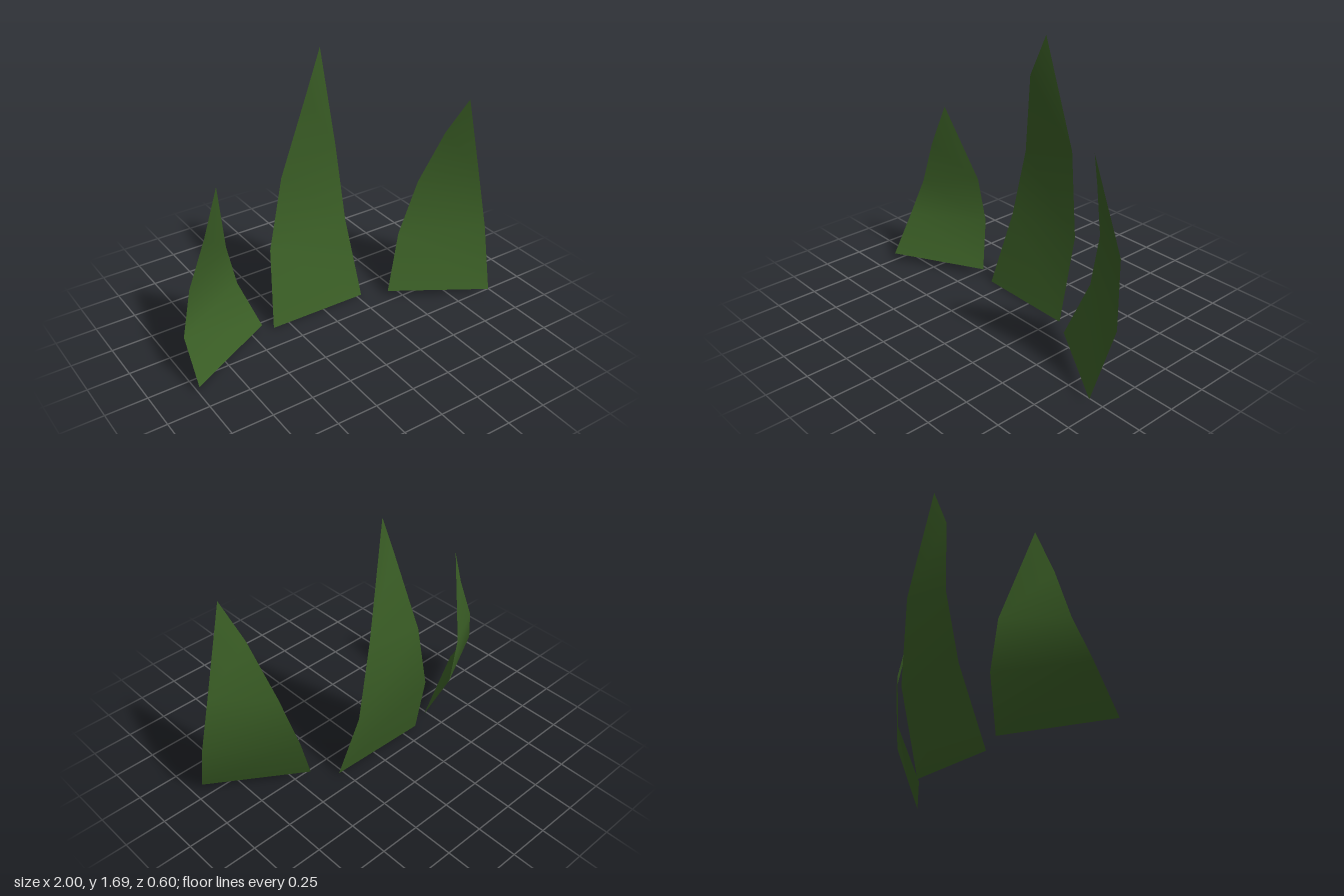
import * as THREE from 'three';

const material = new THREE.MeshStandardMaterial({ color: 0x3b5f26, side: THREE.DoubleSide });

// A thin curved blade: points zigzag from the base (left, right, left, ...) to the tip
function makeBlade(name, points) {
  const index = [];
  for (let i = 0; i < points.length - 2; i++) {
    // swap the winding of every second triangle so that all face the front
    if (i % 2) index.push(i + 1, i, i + 2);
    else index.push(i, i + 1, i + 2);
  }
  const geometry = new THREE.BufferGeometry();
  geometry.setAttribute('position', new THREE.Float32BufferAttribute(points.flat(), 3));
  geometry.setIndex(index);
  geometry.computeVertexNormals();
  const mesh = new THREE.Mesh(geometry, material);
  mesh.name = name;
  return mesh;
}

export function createModel() {
  const group = new THREE.Group();
  group.name = 'grassTuft';

  // Tall blade in the middle, bowed backwards
  group.add(makeBlade('middleBlade', [
    [-0.355, 0.005, -0.16], [0.28, 0.01, -0.145],
    [-0.29, 0.47, -0.283], [0.25, 0.51, -0.285],
    [-0.19, 0.92, -0.297], [0.19, 1.03, -0.303],
    [-0.065, 1.44, -0.212], [0.04, 1.69, -0.23],
  ]));

  // Medium blade, turned towards the middle
  group.add(makeBlade('leftBlade', [
    [0.415, 0.043, -0.045], [0.95, 0.05, 0.30],
    [0.54, 0.39, -0.117], [1.0, 0.43, 0.17],
    [0.64, 0.75, -0.07], [0.957, 0.81, 0.12],
    [0.725, 1.11, 0.06], [0.80, 1.34, 0.17],
  ]));

  // Short blade, turned the other way
  group.add(makeBlade('rightBlade', [
    [-0.998, 0.053, 0.13], [-0.435, 0.06, -0.16],
    [-1.0, 0.30, -0.015], [-0.53, 0.34, -0.265],
    [-0.92, 0.55, -0.07], [-0.59, 0.61, -0.257],
    [-0.81, 0.84, -0.066], [-0.705, 1.11, -0.095],
  ]));

  return group;
}
